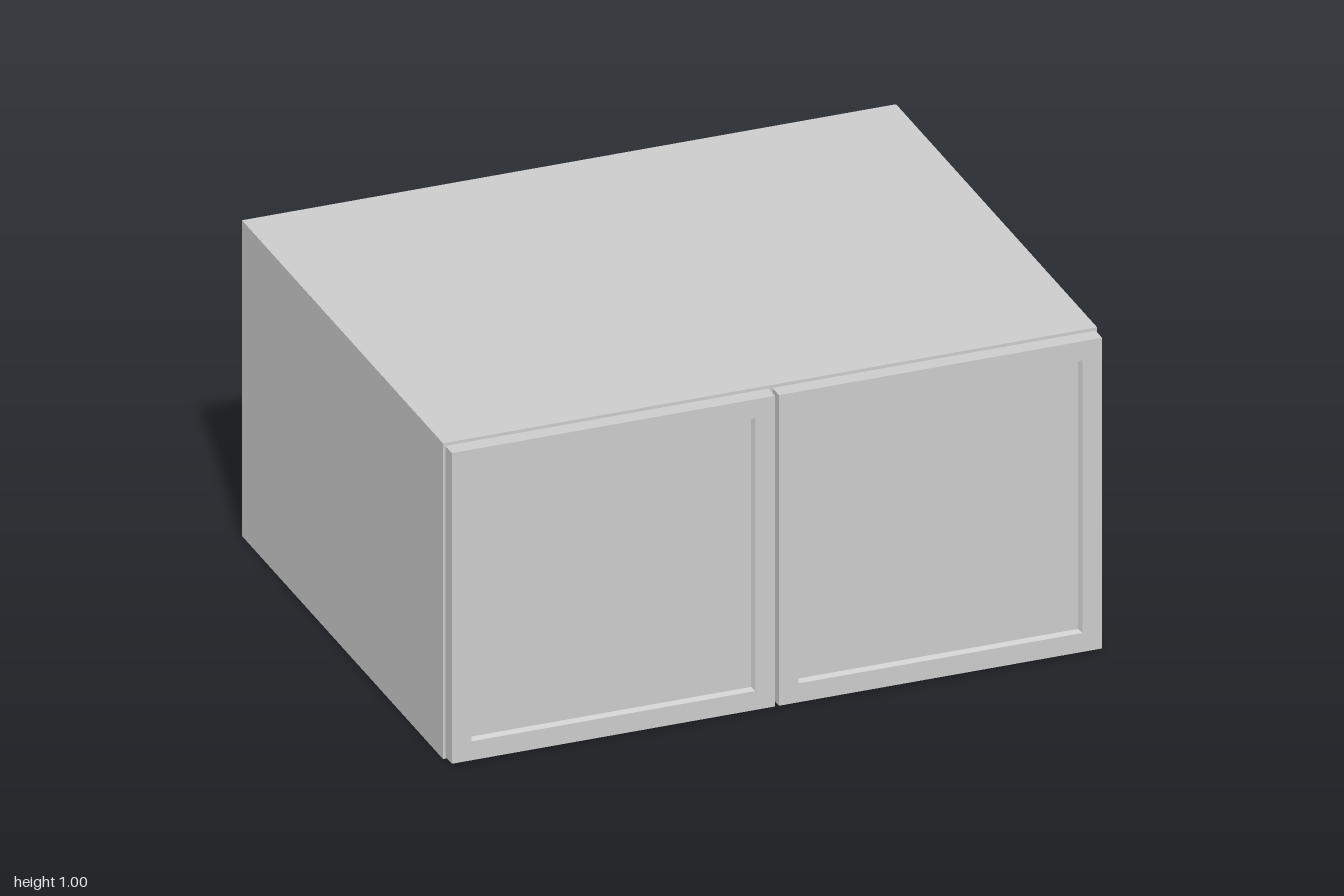
import * as THREE from 'three';

const material = new THREE.MeshStandardMaterial({ color: 0xcccccc, flatShading: true });
const T = 0.05;                 // board thickness
const BACK = -0.795, FRONT = 0.742;

function board(name, [x0, x1], [y0, y1], [z0, z1]) {
  const mesh = new THREE.Mesh(new THREE.BoxGeometry(x1 - x0, y1 - y0, z1 - z0), material);
  mesh.position.set((x0 + x1) / 2, (y0 + y1) / 2, (z0 + z1) / 2);
  mesh.name = name;
  return mesh;
}

// Door lofted through rectangular rings: back, front edge, frame inner edge, recessed panel
function doorGeometry(w, h, depth) {
  const rail = 0.06, bevel = 0.007, recess = 0.016;
  const rings = [[0, 0], [0, depth], [rail, depth], [rail + bevel, depth - recess]];
  const positions = [], index = [];
  for (const [inset, z] of rings) {
    const x = w / 2 - inset, y = h / 2 - inset;
    positions.push(-x, -y, z, x, -y, z, x, y, z, -x, y, z);
  }
  for (let r = 0; r < rings.length - 1; r++) {
    for (let i = 0; i < 4; i++) {
      const a = r * 4 + i, b = r * 4 + (i + 1) % 4;
      index.push(a, b, b + 4, a, b + 4, a + 4);
    }
  }
  const p = (rings.length - 1) * 4;
  index.push(0, 2, 1, 0, 3, 2, p, p + 1, p + 2, p, p + 2, p + 3);
  const indexed = new THREE.BufferGeometry();
  indexed.setAttribute('position', new THREE.Float32BufferAttribute(positions, 3));
  indexed.setIndex(index);
  const geometry = indexed.toNonIndexed();
  geometry.computeVertexNormals();
  return geometry;
}

export function createModel() {
  const group = new THREE.Group();
  group.name = 'cabinet';

  // Carcass: full-height sides with the other boards fitted between them
  const inner = [-1 + T, 1 - T];
  group.add(
    board('rightSide', [-1, -1 + T], [0, 1], [BACK, FRONT]),
    board('leftSide', [1 - T, 1], [0, 1], [BACK, FRONT]),
    board('bottom', inner, [0, T], [BACK, FRONT]),
    board('top', inner, [1 - T, 1], [BACK, FRONT]),
    board('back', inner, [T, 1 - T], [BACK, BACK + 0.02]),
    board('shelf', inner, [0.475, 0.525], [BACK + 0.02, FRONT - 0.02])
  );

  // Pair of recessed-panel doors with a narrow gap between them
  const geometry = doorGeometry(0.988, 0.984, 0.05);
  for (const side of [-1, 1]) {
    const door = new THREE.Mesh(geometry, material);
    door.name = side < 0 ? 'rightDoor' : 'leftDoor';
    door.position.set(side * 0.5, 0.5, 0.745);
    group.add(door);
  }
  return group;
}
